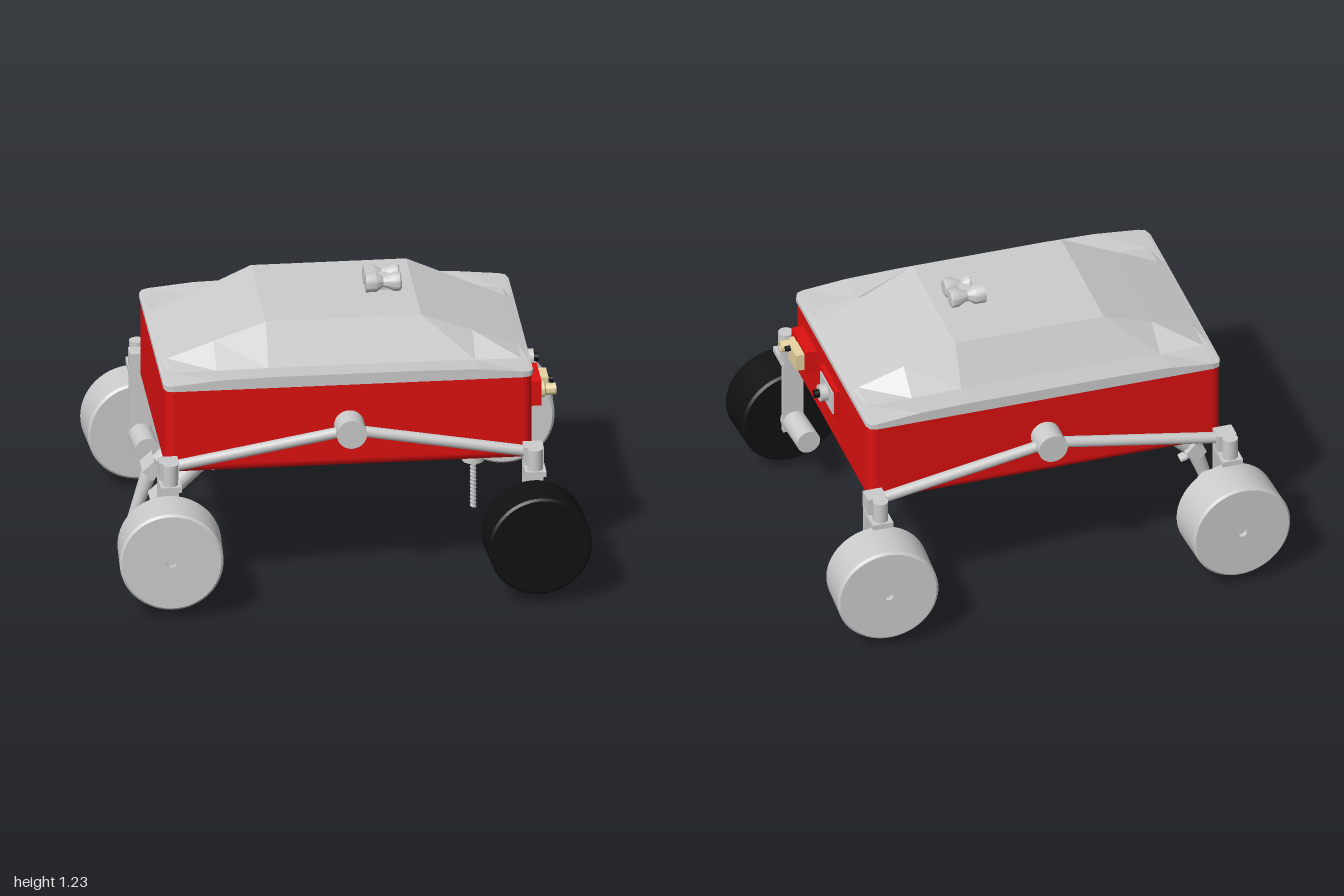
import * as THREE from 'three';
import { toCreasedNormals } from 'three/addons/utils/BufferGeometryUtils.js';
import { RoundedBoxGeometry } from 'three/addons/geometries/RoundedBoxGeometry.js';

const mat = (color) => new THREE.MeshStandardMaterial({ color });
const grey = mat(0xcccccc), red = mat(0xdd1010), black = mat(0x111111), beige = mat(0xe6d3a3);
const lidMat = new THREE.MeshStandardMaterial({ color: 0xcccccc, flatShading: true, side: THREE.DoubleSide });

export function createModel() {
  const root = new THREE.Group();
  const V = (x, y, z) => new THREE.Vector3(x, y, z);

  function add(name, geo, material, x = 0, y = 0, z = 0, parent = root) {
    const m = new THREE.Mesh(geo, material);
    m.name = name;
    m.position.set(x, y, z);
    parent.add(m);
    return m;
  }
  // Box given by its extents along each axis
  const box = (name, material, x0, x1, y0, y1, z0, z1, parent) =>
    add(name, new THREE.BoxGeometry(Math.abs(x1 - x0), Math.abs(y1 - y0), Math.abs(z1 - z0)), material,
      (x0 + x1) / 2, (y0 + y1) / 2, (z0 + z1) / 2, parent);
  // Round bar from a to b with radius ra at a and rb at b
  function rod(name, material, a, b, ra, rb = ra, parent = root, sides = 24) {
    const d = b.clone().sub(a);
    const m = add(name, new THREE.CylinderGeometry(rb, ra, d.length(), sides), material, 0, 0, 0, parent);
    m.position.copy(a).addScaledVector(d, 0.5);
    m.quaternion.setFromUnitVectors(V(0, 1, 0), d.normalize());
    return m;
  }
  const lathe = (pts, sides = 40) => toCreasedNormals(
    new THREE.LatheGeometry(pts.map(([r, y]) => new THREE.Vector2(r, y)), sides), 0.6);

  // Hull: rounded below, cut flat where the lid sits
  const hull = new RoundedBoxGeometry(1.56, 0.44, 1.04, 4, 0.04);
  hull.translate(0, 0.77, 0);
  const hp = hull.attributes.position;
  for (let i = 0; i < hp.count; i++) hp.setY(i, Math.min(hp.getY(i), 0.94));
  add('hull', hull, red);
  box('undersideRail', red, -0.45, 0.42, 0.54, 0.56, 0.42, 0.45);

  // Lid: cross-sections along x as [x, half width, rim y, foot z, foot y, crown z, crown y]
  const half = [
    [0.785, 0.485, 0.95, 0.37, 0.951, 0.25, 0.952],
    [0.772, 0.515, 0.953, 0.375, 0.954, 0.252, 0.957],
    [0.745, 0.523, 0.956, 0.38, 0.956, 0.255, 0.969],
    [0.55, 0.523, 0.975, 0.39, 0.962, 0.275, 1.05],
    [0.33, 0.523, 0.98, 0.39, 0.965, 0.3, 1.14],
  ];
  const stations = [...half.map(([x, ...r]) => [-x, ...r]), ...half.slice().reverse()];
  const pos = [], idx = [], n = 8;
  for (const [x, w, ry, fz, fy, cz, cy] of stations) {
    const side = [[w, 0.93], [w, ry], [fz, fy], [cz, cy]];
    for (const [z, y] of side) pos.push(x, y, z);
    for (const [z, y] of side.slice().reverse()) pos.push(x, y, -z);
  }
  for (let s = 0; s < stations.length - 1; s++)
    for (let k = 0; k < n; k++) {
      const a = s * n + k, b = s * n + (k + 1) % n, c = a + n, d = b + n;
      idx.push(a, c, b, b, c, d);
    }
  const last = (stations.length - 1) * n;
  for (let k = 1; k < n - 1; k++) idx.push(0, k, k + 1, last, last + k + 1, last + k);
  const lid = new THREE.BufferGeometry();
  lid.setAttribute('position', new THREE.Float32BufferAttribute(pos, 3));
  lid.setIndex(idx);
  lid.computeVertexNormals();
  add('lid', lid, lidMat);

  // Twin camera: two waisted barrels on the roof
  const barrel = lathe([[0, 0], [0.042, 0], [0.042, 0.045], [0.022, 0.075], [0.026, 0.09],
    [0.041, 0.12], [0.041, 0.145], [0.034, 0.152], [0, 0.155]], 28);
  for (const s of [-1, 1])
    add('cameraBarrel', barrel, grey, 0.12, 1.187, s * 0.042).rotation.z = -Math.PI / 2;
  box('cameraBackPlate', grey, 0.122, 0.165, 1.146, 1.228, -0.042, 0.042);
  box('cameraBridge', grey, 0.165, 0.22, 1.165, 1.205, -0.035, 0.035);
  box('cameraFoot', grey, 0.14, 0.22, 1.13, 1.165, -0.02, 0.02);

  // Suspension and wheels at the four corners
  const wheel = lathe([[0, -0.107], [0.21, -0.107], [0.22, -0.097], [0.22, 0.097],
    [0.21, 0.107], [0.022, 0.107], [0.022, 0.085], [0, 0.085]], 56);
  for (const sz of [-1, 1]) {
    rod('rockerPivot', grey, V(0, 0.747, sz * 0.51), V(0, 0.747, sz * 0.635), 0.064, 0.064, root, 32);
    for (const sx of [-1, 1]) {
      const corner = new THREE.Group();
      corner.name = 'wheelAssembly';
      root.add(corner);
      const X = sx * 0.775;
      rod('rockerArm', grey, V(0, 0.747, sz * 0.58), V(sx * 0.75, 0.615, sz * 0.58), 0.024, 0.024, corner);
      box('armEndBlock', grey, X - 0.042, X + 0.042, 0.565, 0.645, sz * 0.545, sz * 0.62, corner);
      box('steeringPlate', grey, X - 0.045, X + 0.045, 0.543, 0.567, sz * 0.555, sz * 0.7, corner);
      rod('steeringMotor', grey, V(X, 0.56, sz * 0.66), V(X, 0.66, sz * 0.66), 0.033, 0.033, corner);
      box('wheelStrut', grey, X - 0.045, X + 0.045, 0.22, 0.55, sz * 0.555, sz * 0.578, corner);
      // Hub turned slightly inward at the outer end
      const hub = new THREE.Group();
      hub.name = 'hub';
      hub.position.set(sx * 0.778, 0.267, sz * 0.697);
      hub.rotation.y = sx * sz * 0.06;
      corner.add(hub);
      const w = add('wheel', wheel, sx > 0 && sz > 0 ? black : grey, 0, 0, 0, hub);
      w.rotation.x = sz * Math.PI / 2;
      rod('driveMotor', grey, V(0, 0, -sz * 0.1), V(0, 0, -sz * 0.308), 0.052, 0.052, hub);
    }
  }

  // Instruments on the +x end
  box('sensorFrame', red, 0.77, 0.83, 0.747, 0.857, 0.21, 0.41);
  box('sensorBox', beige, 0.82, 0.868, 0.763, 0.84, 0.225, 0.33);
  add('sensorLens', lathe([[0, 0], [0.034, 0], [0.034, 0.02], [0.025, 0.025], [0.025, 0.07],
    [0.016, 0.07], [0.016, 0.05], [0, 0.05]], 28), beige, 0.825, 0.802, 0.365).rotation.z = -Math.PI / 2;
  rod('sensorKnob', black, V(0.85, 0.825, 0.31), V(0.888, 0.825, 0.31), 0.012);
  box('portFrame', red, 0.77, 0.8, 0.717, 0.857, -0.108, 0.108);
  box('portPlate', grey, 0.79, 0.806, 0.735, 0.84, -0.087, 0.087);
  rod('portRing', grey, V(0.8, 0.792, 0), V(0.838, 0.792, 0), 0.037);
  rod('portLens', black, V(0.82, 0.792, 0), V(0.86, 0.792, 0), 0.018);

  // Drill hung under the hull from a cross-shaped mount
  box('drillMountLong', grey, 0.46, 0.705, 0.515, 0.56, -0.035, 0.035);
  box('drillMountWide', grey, 0.548, 0.618, 0.515, 0.56, -0.14, 0.14);
  rod('drillBody', grey, V(0.583, 0.33, 0), V(0.583, 0.55, 0), 0.047);
  rod('drillBit', grey, V(0.583, 0.115, 0), V(0.583, 0.34, 0), 0.011);
  class Helix extends THREE.Curve {
    getPoint(t, p = new THREE.Vector3()) {
      const a = t * 24 * Math.PI;
      return p.set(0.583 + 0.011 * Math.cos(a), 0.115 + 0.21 * t, 0.011 * Math.sin(a));
    }
  }
  add('drillFlute', new THREE.TubeGeometry(new Helix(), 160, 0.004, 5), grey);

  // Two sampling arms at the -x end
  const mount = new THREE.Shape([[-0.62, 0.56], [-0.62, 0.5], [-0.555, 0.425], [-0.512, 0.425], [-0.512, 0.56]]
    .map(([x, y]) => new THREE.Vector2(x, y)));
  const mountGeo = new THREE.ExtrudeGeometry(mount, { depth: 0.084, bevelEnabled: false });
  for (const s of [-1, 1]) {
    const z = s * 0.163;
    const arm = new THREE.Group();
    arm.name = 'samplingArm';
    arm.position.z = z;
    root.add(arm);
    add('armMount', mountGeo, grey, 0, 0, -0.042, arm);
    rod('upperArm', grey, V(-0.56, 0.48, 0), V(-0.75, 0.3, 0), 0.038, 0.038, arm);
    const elbow = add('elbow', new THREE.BoxGeometry(0.07, 0.06, 0.12), grey, -0.765, 0.295, 0, arm);
    elbow.rotation.z = 0.75;
    rod('lowerArm', grey, V(-0.77, 0.285, 0), V(-0.85, 0.05, 0), 0.036, 0.022, arm);
    // Curled scoop tip
    const outer = [[-0.868, 0.055], [-0.862, 0.03], [-0.842, 0.01], [-0.812, 0.0]];
    const inner = [[-0.81, 0.01], [-0.836, 0.021], [-0.848, 0.036], [-0.835, 0.06]];
    const tip = new THREE.Shape([...outer, ...inner].map(([x, y]) => new THREE.Vector2(x, y)));
    add('scoop', new THREE.ExtrudeGeometry(tip, { depth: 0.046, bevelEnabled: false }), grey, 0, 0, -0.023, arm);
  }
  return root;
}
